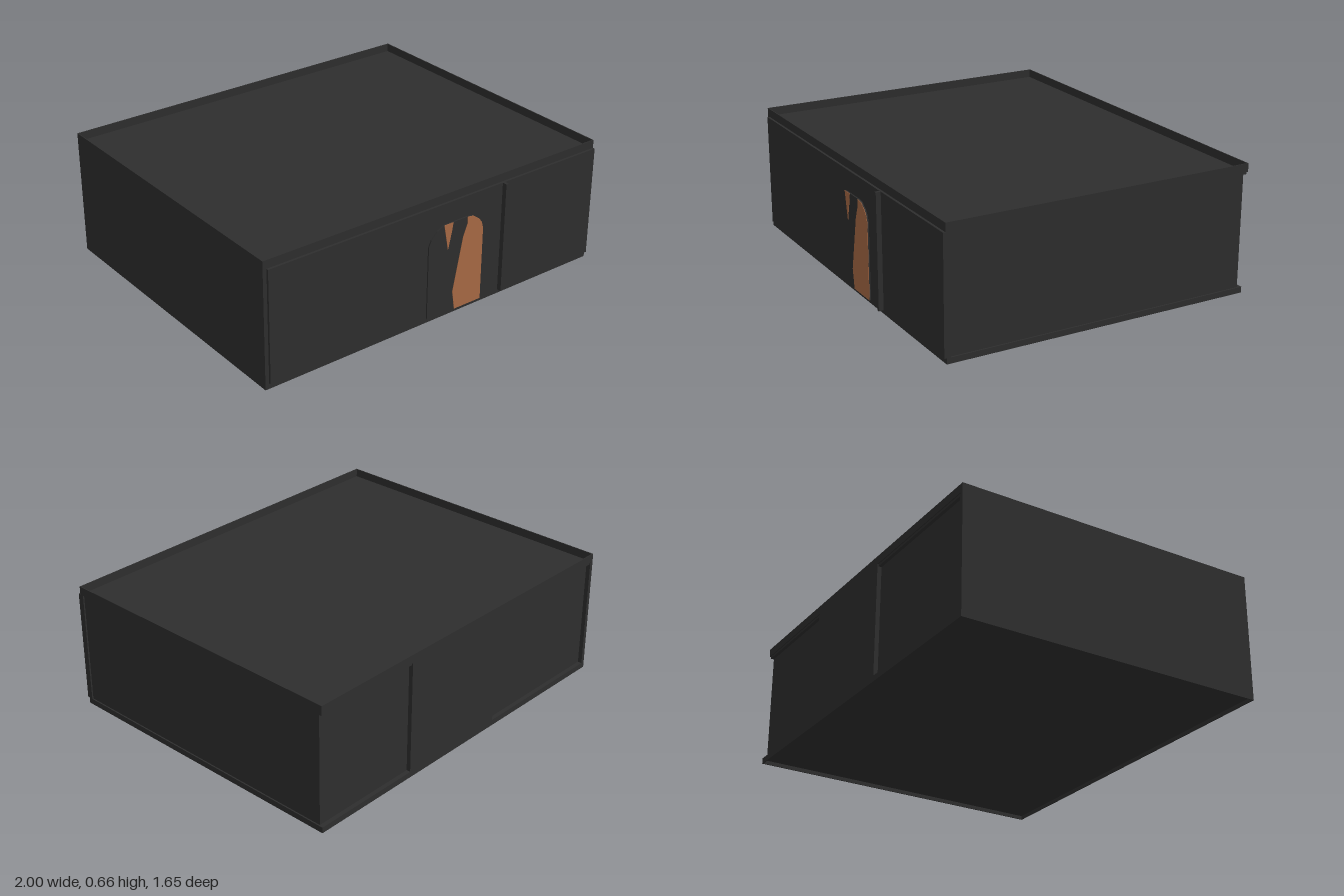
import * as THREE from 'three';

const dark = new THREE.MeshStandardMaterial({ name: 'charcoal', color: 0x2e2e2e });
const orange = new THREE.MeshStandardMaterial({ name: 'terracotta', color: 0xa86a45 });

// Box given by its lowest and highest corners
function box(name, [x0, y0, z0], [x1, y1, z1]) {
  const mesh = new THREE.Mesh(new THREE.BoxGeometry(x1 - x0, y1 - y0, z1 - z0), dark);
  mesh.name = name;
  mesh.position.set((x0 + x1) / 2, (y0 + y1) / 2, (z0 + z1) / 2);
  return mesh;
}

// Thin upright rim around the footprint
function rim(name, y0, y1) {
  const group = new THREE.Group();
  const t = 0.005;
  group.name = name;
  group.add(
    box(name + 'Left', [0.995 - t, y0, -0.827], [0.995, y1, 0.79]),
    box(name + 'Right', [-1, y0, -0.827], [-1 + t, y1, 0.79]),
    box(name + 'Front', [-1 + t, y0, 0.79 - t], [0.995 - t, y1, 0.79]),
    box(name + 'Back', [-1 + t, y0, -0.827], [0.995 - t, y1, -0.827 + t])
  );
  return group;
}

// Flat plate facing the front
function plate(name, points, material, z, depth) {
  const shape = new THREE.Shape(points.map(([x, y]) => new THREE.Vector2(x, y)));
  const mesh = new THREE.Mesh(
    new THREE.ExtrudeGeometry(shape, { depth, bevelEnabled: false }), material);
  mesh.name = name;
  mesh.position.z = z;
  return mesh;
}

export function createModel() {
  const model = new THREE.Group();
  model.name = 'building';
  const low = 0.03, high = 0.617;

  // Sunken floor and roof inside their rims
  model.add(rim('baseRim', 0, low), rim('parapet', high, 0.66));
  model.add(box('floor', [-0.995, 0.02, -0.822], [0.99, low, 0.785]));
  model.add(box('roof', [-0.995, 0.605, -0.822], [0.99, high, 0.785]));

  // Walls
  model.add(box('rightWall', [-1, low, -0.827], [-0.98, high, 0.79]));
  model.add(box('leftWall', [0.965, low, -0.805], [0.988, high, 0.79]));
  model.add(box('frontWall', [-0.98, low, 0.77], [0.995, high, 0.802]));
  model.add(box('backWall', [-0.98, low, -0.805], [0.965, high, -0.785]));
  model.add(box('backCentrePanel', [-0.22, low, -0.827], [0.4, high, -0.805]));

  // Upright fin beside the door
  model.add(box('frontFin', [0.378, low, 0.802], [0.392, high, 0.827]));

  // Arched door with orange faces
  const arch = [[0.255, 0.03], [0.255, 0.42], [0.245, 0.455], [0.225, 0.48],
    [0.19, 0.505], [0.155, 0.51]];
  model.add(plate('door', [[-0.08, 0.03], ...arch, [0.01, 0.51], [-0.03, 0.49],
    [-0.065, 0.455], [-0.08, 0.42]], dark, 0.802, 0.007));
  model.add(plate('doorLargeInlay', [[0.09, 0.03], ...arch, [0.155, 0.475],
    [0.13, 0.41], [0.075, 0.13]], orange, 0.809, 0.002));
  model.add(plate('doorSmallInlay', [[0.01, 0.51], [0.02, 0.46], [0.037, 0.37],
    [0.06, 0.475], [0.065, 0.51]], orange, 0.809, 0.002));
  return model;
}
